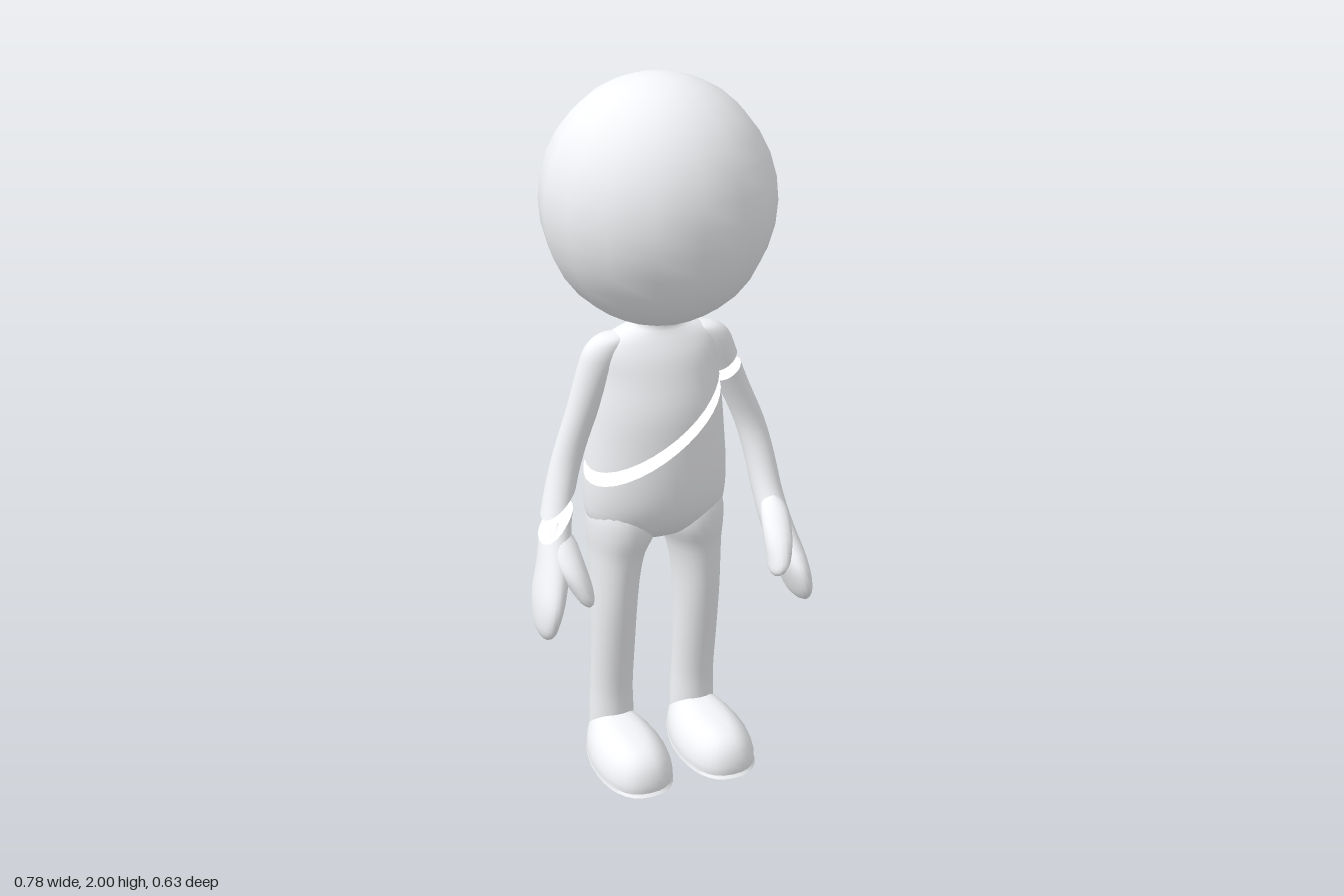
import * as THREE from 'three';
import { toCreasedNormals } from 'three/addons/utils/BufferGeometryUtils.js';

const material = new THREE.MeshStandardMaterial({ color: 0xf3f4f7 });

// Skin over horizontal oval rings [x, y, z, radiusX, radiusZ], listed top to bottom
function loft(rings, { sides = 24, steps = 3, power = 2 } = {}) {
  const centre = new THREE.CatmullRomCurve3(rings.map(r => new THREE.Vector3(r[0], r[1], r[2])), false, 'catmullrom');
  const radius = new THREE.CatmullRomCurve3(rings.map(r => new THREE.Vector3(r[3], r[4], 0)), false, 'catmullrom');
  const count = (rings.length - 1) * steps;
  const positions = [], index = [];
  const bend = v => Math.sign(v) * Math.abs(v) ** (2 / power);
  for (let i = 0; i <= count; i++) {
    const c = centre.getPoint(i / count), r = radius.getPoint(i / count);
    for (let j = 0; j < sides; j++) {
      const a = (j / sides) * Math.PI * 2;
      positions.push(c.x + Math.max(r.x, 1e-4) * bend(Math.cos(a)), c.y, c.z + Math.max(r.y, 1e-4) * bend(Math.sin(a)));
      if (i === count) continue;
      const p = i * sides + j, q = i * sides + (j + 1) % sides;
      index.push(p, q, p + sides, q, q + sides, p + sides);
    }
  }
  const g = new THREE.BufferGeometry();
  g.setAttribute('position', new THREE.Float32BufferAttribute(positions, 3));
  g.setIndex(index);
  g.computeVertexNormals();
  return g;
}

// Keeps the part of a solid on the positive side of a plane and closes the cut
function slice(source, plane) {
  const g = source.toNonIndexed();
  const pos = g.attributes.position, nor = g.attributes.normal;
  const outPos = [], outNor = [], cuts = [];
  const add = (p, n) => { outPos.push(p.x, p.y, p.z); outNor.push(n.x, n.y, n.z); };
  for (let i = 0; i < pos.count; i += 3) {
    const tri = [0, 1, 2].map(k => {
      const p = new THREE.Vector3().fromBufferAttribute(pos, i + k);
      return { p, n: new THREE.Vector3().fromBufferAttribute(nor, i + k), d: plane.distanceToPoint(p) };
    });
    const kept = [];
    let leave, enter;
    tri.forEach((a, k) => {
      const b = tri[(k + 1) % 3];
      if (a.d >= 0) kept.push(a);
      if ((a.d >= 0) === (b.d >= 0)) return;
      const t = a.d / (a.d - b.d);
      const m = { p: a.p.clone().lerp(b.p, t), n: a.n.clone().lerp(b.n, t).normalize() };
      kept.push(m);
      if (a.d >= 0) leave = m.p; else enter = m.p;
    });
    for (let k = 1; k + 1 < kept.length; k++) [kept[0], kept[k], kept[k + 1]].forEach(v => add(v.p, v.n));
    if (leave) cuts.push([enter, leave]);
  }
  const middle = new THREE.Vector3();
  cuts.forEach(c => middle.addScaledVector(c[0], 1 / cuts.length));
  const capNormal = plane.normal.clone().negate();
  cuts.forEach(([a, b]) => [a, b, middle].forEach(p => add(p, capNormal)));
  const result = new THREE.BufferGeometry();
  result.setAttribute('position', new THREE.Float32BufferAttribute(outPos, 3));
  result.setAttribute('normal', new THREE.Float32BufferAttribute(outNor, 3));
  return result;
}

// Two sides of the slanted gap that crosses the arms and torso
function slantedPlane(height, sign) {
  const normal = new THREE.Vector3(-0.67, 1, 0.15);
  const length = normal.length();
  return new THREE.Plane(normal.multiplyScalar(sign / length), -sign * height / length);
}
const above = slantedPlane(1.045, 1), below = slantedPlane(1.003, -1);

export function createModel() {
  const model = new THREE.Group();
  model.name = 'figure';
  const add = (name, geometry) => {
    const mesh = new THREE.Mesh(geometry, material);
    mesh.name = name;
    model.add(mesh);
    return mesh;
  };
  const addSliced = (name, geometry) => {
    add(name + 'Upper', slice(geometry, above));
    add(name + 'Lower', slice(geometry, below));
  };

  // Head
  const head = add('head', new THREE.SphereGeometry(1, 16, 16));
  head.scale.set(0.316, 0.335, 0.317);
  head.position.set(0.023, 1.665, -0.002);

  // Torso with neck and hips
  addSliced('torso', loft([
    [0.022, 1.37, 0, 0.075, 0.06], [0.022, 1.33, 0, 0.077, 0.057],
    [0.022, 1.312, 0, 0.118, 0.064], [0.022, 1.29, 0, 0.155, 0.078],
    [0.022, 1.25, 0.002, 0.172, 0.098], [0.021, 1.19, 0.002, 0.174, 0.119],
    [0.02, 1.1, 0, 0.184, 0.146], [0.02, 1.0, -0.01, 0.195, 0.162],
    [0.02, 0.9, -0.015, 0.204, 0.166], [0.02, 0.82, -0.018, 0.205, 0.159],
    [0.02, 0.76, -0.022, 0.198, 0.138], [0.02, 0.715, -0.022, 0.165, 0.1],
    [0.02, 0.69, -0.02, 0.1, 0.055], [0.02, 0.683, -0.02, 0, 0],
  ], { sides: 36 }));

  // Arms, rounded at the shoulder and running into mitten hands
  addSliced('leftArm', loft([
    [0.135, 1.311, 0, 0, 0], [0.148, 1.302, 0, 0.045, 0.036],
    [0.17, 1.272, 0, 0.06, 0.047], [0.195, 1.22, 0, 0.056, 0.048],
    [0.243, 1.12, 0, 0.046, 0.042],
    [0.295, 1.0, 0.005, 0.044, 0.04], [0.318, 0.9, 0.03, 0.043, 0.048],
    [0.328, 0.8, 0.07, 0.042, 0.058], [0.335, 0.72, 0.125, 0.043, 0.075],
    [0.345, 0.65, 0.185, 0.042, 0.097], [0.36, 0.58, 0.205, 0.034, 0.092],
    [0.368, 0.535, 0.2, 0.022, 0.065], [0.37, 0.515, 0.2, 0, 0],
  ]));
  addSliced('rightArm', loft([
    [-0.091, 1.311, 0, 0, 0], [-0.104, 1.302, 0, 0.045, 0.036],
    [-0.126, 1.272, 0, 0.06, 0.047], [-0.151, 1.22, 0, 0.056, 0.048],
    [-0.196, 1.1, 0, 0.046, 0.042], [-0.238, 0.98, 0, 0.044, 0.04],
    [-0.268, 0.89, 0.015, 0.043, 0.045],
    [-0.295, 0.8, 0.045, 0.044, 0.052], [-0.317, 0.71, 0.09, 0.043, 0.07],
    [-0.345, 0.62, 0.125, 0.04, 0.087], [-0.36, 0.55, 0.14, 0.03, 0.072],
    [-0.363, 0.515, 0.14, 0.018, 0.045], [-0.364, 0.495, 0.14, 0, 0],
  ]));

  // Thumbs
  add('leftThumb', loft([
    [0.325, 0.81, 0.11, 0, 0], [0.32, 0.78, 0.135, 0.034, 0.042],
    [0.304, 0.725, 0.2, 0.039, 0.052], [0.29, 0.67, 0.24, 0.03, 0.05],
    [0.278, 0.64, 0.253, 0.019, 0.034], [0.274, 0.623, 0.257, 0, 0],
  ], { sides: 16 }));
  add('rightThumb', loft([
    [-0.296, 0.8, 0.06, 0, 0], [-0.294, 0.765, 0.08, 0.037, 0.042],
    [-0.285, 0.705, 0.13, 0.042, 0.055], [-0.266, 0.65, 0.162, 0.032, 0.048],
    [-0.254, 0.61, 0.178, 0.019, 0.032], [-0.25, 0.592, 0.18, 0, 0],
  ], { sides: 16 }));

  // Legs and flat-soled feet, mirrored about the body's centre line
  for (const [side, s] of [['left', 1], ['right', -1]]) {
    const at = x => 0.021 + s * x;
    add(side + 'Leg', loft([
      [at(0.1), 0.88, -0.02, 0.06, 0.08], [at(0.1), 0.79, -0.02, 0.095, 0.118],
      [at(0.102), 0.72, -0.02, 0.098, 0.122], [at(0.115), 0.655, -0.02, 0.081, 0.106],
      [at(0.123), 0.58, -0.016, 0.071, 0.094], [at(0.127), 0.48, -0.015, 0.066, 0.084],
      [at(0.128), 0.35, -0.02, 0.063, 0.07], [at(0.128), 0.2, -0.036, 0.062, 0.066],
      [at(0.128), 0.11, -0.04, 0.065, 0.069], [at(0.128), 0.03, -0.04, 0.066, 0.068],
    ]));
    const foot = loft([
      [0, 0.122, 0.09, 0, 0], [0, 0.118, 0.09, 0.042, 0.108],
      [0, 0.1, 0.088, 0.072, 0.16], [0, 0.07, 0.087, 0.097, 0.186],
      [0, 0.035, 0.087, 0.109, 0.197], [0, 0.012, 0.087, 0.109, 0.197],
      [0, 0, 0.087, 0.1, 0.19], [0, 0, 0.087, 0, 0],
    ], { sides: 32, steps: 2, power: 2.5 });
    // Narrow the heel
    const p = foot.attributes.position;
    for (let i = 0; i < p.count; i++) {
      const k = THREE.MathUtils.smoothstep(p.getZ(i), -0.12, 0.12);
      p.setXYZ(i, at(0.128) + p.getX(i) * (0.78 + 0.22 * k), Math.max(0, p.getY(i)), p.getZ(i));
    }
    add(side + 'Foot', toCreasedNormals(foot, 0.7));
  }
  return model;
}
